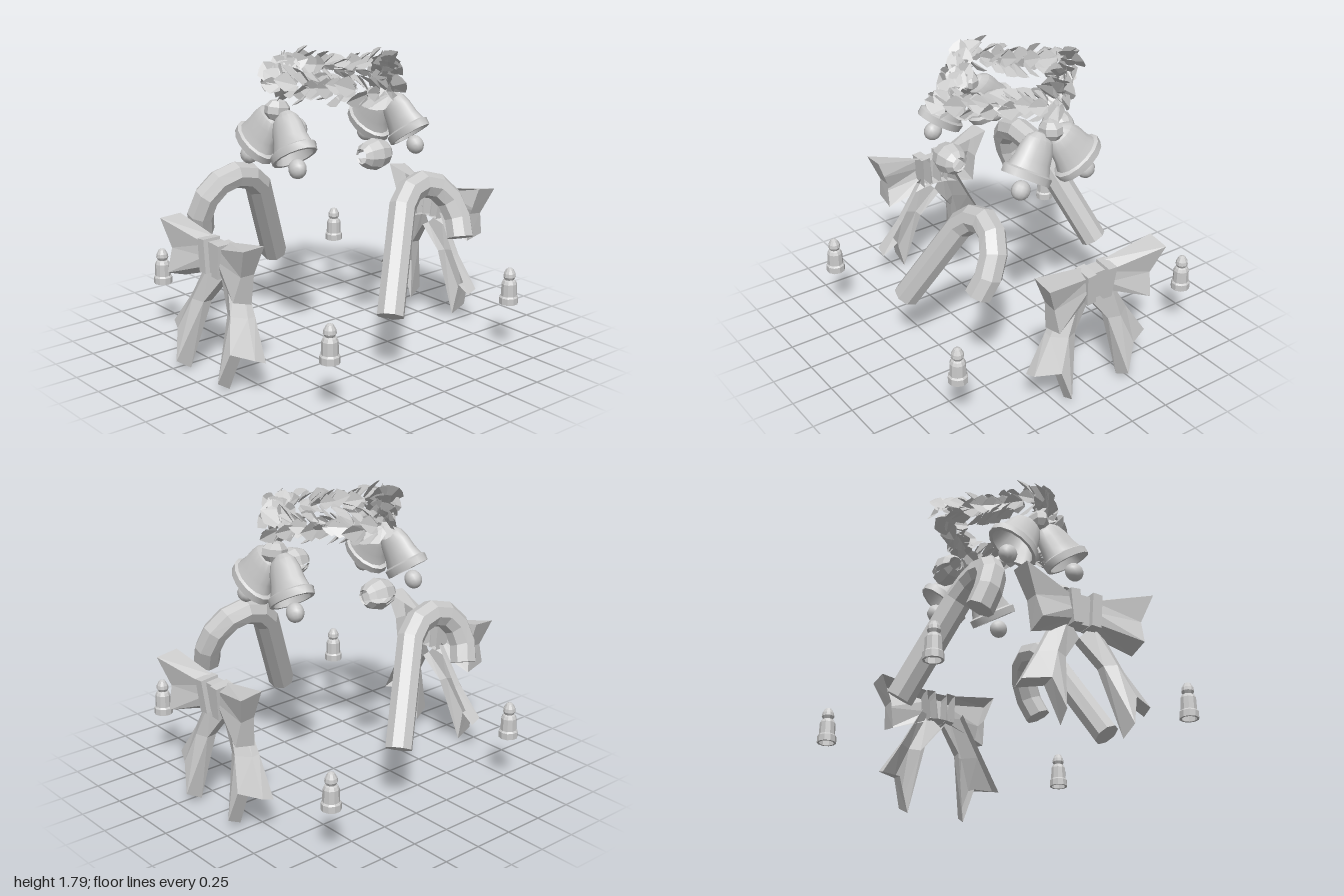
import * as THREE from 'three';
import { mergeGeometries, toCreasedNormals } from 'three/addons/utils/BufferGeometryUtils.js';

const V = (x, y, z) => new THREE.Vector3(x, y, z);
const profileOf = list => list.map(p => new THREE.Vector2(...p));
const flat = new THREE.MeshStandardMaterial({ color: 0xcccccc, flatShading: true, side: THREE.DoubleSide });
const smooth = new THREE.MeshStandardMaterial({ color: 0xcccccc, side: THREE.DoubleSide });

function add(parent, name, geometry, material = flat) {
  const mesh = new THREE.Mesh(geometry, material);
  mesh.name = name;
  parent.add(mesh);
  return mesh;
}

function group(name, ...children) {
  const g = new THREE.Group();
  g.name = name;
  if (children.length) g.add(...children);
  return g;
}

// Solid through even-sided loops of [x, y, z] points; a hollow one is a
// relief shell without its first cap and the two back strips of its six sides
function loft(sections, hollow = false) {
  const n = sections[0].length, last = (sections.length - 1) * n, index = [];
  const quad = (a, b, c, d) => index.push(a, b, c, a, c, d);
  for (let s = 0; s < last; s += n)
    for (let i = 0; i < n; i++) {
      const j = (i + 1) % n;
      if (!hollow || (i !== 3 && i !== 4)) quad(s + i, s + j, s + n + j, s + n + i);
    }
  for (let i = 0; i < n / 2 - 1; i++) {
    quad(last + i, last + i + 1, last + n - 2 - i, last + n - 1 - i);
    if (!hollow) quad(n - 1 - i, n - 2 - i, i + 1, i);
  }
  const g = new THREE.BufferGeometry();
  g.setAttribute('position', new THREE.Float32BufferAttribute(sections.flat(2), 3));
  g.setIndex(index);
  const out = g.toNonIndexed();
  out.computeVertexNormals();
  return out;
}

// Box without its back face
function openBox(w, h, d) {
  const g = new THREE.BoxGeometry(w, h, d);
  g.setIndex([...g.index.array].slice(0, 30));
  return g;
}

// Ribbon bow, hollow behind: two pinched wings, two forked tails, a folded knot
function makeBow(name) {
  const bow = group(name);
  const wing = loft([
    [[.06, .80, .87], [.06, .73, .88], [.06, .67, .87], [.06, .63, .80], [.06, .73, .80], [.06, .83, .80]],
    [[.41, .89, .95], [.34, .72, .92], [.325, .58, .965], [.325, .54, .84], [.34, .72, .83], [.41, .895, .81]],
  ], true);
  const tail = loft([
    [[.14, .68, .80], [.08, .68, .83], [0, .59, .81], [0, .58, .76], [.08, .69, .77], [.14, .69, .76]],
    [[.275, .44, .83], [.19, .44, .89], [.12, .43, .86], [.12, .43, .80], [.19, .44, .81], [.275, .44, .78]],
    [[.405, .24, .88], [.265, .25, .95], [.21, .07, 1.0], [.195, .01, .91], [.265, .23, .87], [.41, .21, .81]],
  ], true);
  for (const side of [1, -1]) {
    add(bow, 'bowWing', wing).scale.x = side;
    add(bow, 'bowTail', tail).scale.x = side;
    const fold = add(bow, 'knotSide', openBox(.06, .2, .115));
    fold.position.set(side * .065, .735, .8425);
    fold.rotation.z = -side * .08;
  }
  add(bow, 'knotCentre', openBox(.08, .18, .085)).position.set(0, .73, .8275);
  return bow;
}

// Eight-sided hooked cane in a leaning plane; bend swings its hook sideways, reach sets the hook's width
function makeCane(name, bend, reach) {
  const lean = .39, r = .082;
  const normal = V(1, -lean, 0).normalize();
  const path = [[-.06, .41], [.22, .96], [.31, 1.035], [.42, 1.06], [.53, 1.03], [.605, .95], [.63, .84], [.605, .73]]
    .map(([z, y], i) => V(-.4 - lean * (1.06 - y) + bend * Math.max(i - 3, 0) / 4, y, i < 2 ? z : .22 + (z - .22) * reach));
  const rings = path.map((p, i) => {
    const a = path[Math.max(i - 1, 0)], b = path[Math.min(i + 1, path.length - 1)];
    const before = p.clone().sub(a).normalize(), after = b.clone().sub(p).normalize();
    const across = before.add(after).normalize().cross(normal);
    return Array.from({ length: 8 }, (_, k) => {
      const t = (k + .5) * Math.PI / 4;
      return p.clone().addScaledVector(normal, r * Math.cos(t))
        .addScaledVector(across, r * Math.sin(t)).toArray();
    });
  });
  const cane = group(name);
  add(cane, 'caneStick', loft(rings));
  return cane;
}

// Pair of flattened hand bells hanging from a knob, facing front (+1) or back (-1)
function makeBells(name, facing, z) {
  const pair = group(name);
  const profile = profileOf([[0, .22], [.08, .19], [.115, .08], [.14, 0], [.165, 0], [.168, .045], [.145, .055],
    [.125, .11], [.112, .18], [.09, .235], [.05, .27], [0, .28]]);
  const shell = toCreasedNormals(new THREE.LatheGeometry(profile, 14), .5);
  for (const side of [1, -1]) {
    const bell = group('bell');
    bell.position.x = side * .193;
    bell.rotation.z = side * .56;
    add(bell, 'bellShell', shell, smooth).scale.z = .64;
    const clapper = add(bell, 'clapper', new THREE.SphereGeometry(.058, 12, 8), smooth);
    clapper.position.y = -.067;
    clapper.scale.z = .87;
    pair.add(bell);
  }
  const knob = add(pair, 'bellKnob', new THREE.SphereGeometry(.066, 7, 5));
  knob.position.set(0, .24, facing * .01);
  knob.scale.z = 1.3;
  pair.position.set(0, 1.283, z);
  pair.rotation.x = -facing * .16;
  return pair;
}

// Wreath of broad folded leaves along a rounded diamond, fuller at its corners
function makeWreath() {
  const leaf = new THREE.BufferGeometry();
  leaf.setAttribute('position', new THREE.Float32BufferAttribute([
    0, 0, 0, -.035, .008, 0, -.06, .02, .07, -.035, .012, .11, 0, 0, .14,
    .035, .008, 0, .06, .02, .07, .035, .012, .11], 3));
  leaf.setIndex([0, 2, 1, 0, 4, 2, 2, 4, 3, 0, 5, 6, 0, 6, 4, 6, 7, 4]);
  const curve = new THREE.CatmullRomCurve3([V(0, 1.67, -.43), V(.22, 1.65, -.22), V(.42, 1.63, -.03),
    V(.22, 1.65, .17), V(0, 1.67, .39), V(-.22, 1.67, .17), V(-.42, 1.68, -.03), V(-.22, 1.67, -.22)], true);
  let seed = 7;
  const rand = () => (seed = (seed * 16807) % 2147483647) / 2147483647 - .5;
  const leaves = [], count = 36;
  for (let i = 0; i < count; i++) {
    const t = i / count, p = curve.getPointAt(t), along = curve.getTangentAt(t);
    const out = V(0, 1, 0).cross(along).normalize(), up = along.clone().cross(out);
    const corner = Math.max(0, Math.cos(t * 8 * Math.PI));
    for (const angle of [0, 1.3, 2.4, 4.5]) {
      const a = angle + rand() * 1.2;
      const radial = out.clone().multiplyScalar(Math.cos(a)).addScaledVector(up, Math.sin(a));
      const dir = along.clone().addScaledVector(radial, .6 + rand() * .9 + corner * .35).normalize();
      const right = radial.clone().cross(dir).normalize();
      const m = new THREE.Matrix4().makeBasis(right, dir.clone().cross(right), dir);
      m.scale(V(1, 1, 1).multiplyScalar(.9 + rand() * .3));
      m.setPosition(p.clone().addScaledVector(radial, .012 + corner * .012).addScaledVector(along, -.05));
      leaves.push(leaf.clone().applyMatrix4(m));
    }
  }
  const g = mergeGeometries(leaves).toNonIndexed();
  g.computeVertexNormals();
  return g;
}

export function createModel() {
  const model = group('festiveDecorations');
  add(model, 'wreath', makeWreath());

  // Bows, the rear one leaning outward about its own middle
  model.add(makeBow('frontBow'));
  const ribbon = makeBow('backBowRibbon');
  ribbon.rotation.y = Math.PI;
  ribbon.position.set(0, -.5, .88);
  const backBow = group('backBow', ribbon);
  backBow.position.set(0, .515, -.885);
  backBow.rotation.x = -.1;
  model.add(backBow);

  // Canes, one turned half round
  const leftCane = makeCane('leftCane', -.035, .94);
  leftCane.rotation.y = Math.PI;
  leftCane.position.set(0, -.025, .04);
  model.add(makeCane('rightCane', .025, 1), leftCane);

  // Hand bells front and back
  model.add(makeBells('frontBells', 1, .425), makeBells('backBells', -1, -.465));

  // Slit jingle bells
  const jingle = new THREE.LatheGeometry(profileOf([[.04, -.09], [.045, -.1], [.075, -.068], [.094, 0], [.075, .068],
    [.045, .1], [.04, .09], [.065, .06], [.08, 0], [.065, -.06], [.04, -.09]]), 9, -1.1, Math.PI * 2 - .5)
    .rotateX(Math.PI / 2);
  for (const side of [1, -1])
    add(model, 'jingleBell', jingle).position.set(side * .39, 1.275, 0);

  // Small lamps at the four corners
  const lamp = new THREE.LatheGeometry(profileOf([[.045, .32], [.058, .32], [.058, .36], [.049, .37], [.047, .445],
    [.038, .463], [.028, .47], [.038, .488], [.035, .51], [.02, .537], [0, .546]]), 10);
  for (const x of [-.82, .82])
    for (const z of [-.71, .69])
      add(model, 'cornerLamp', lamp).position.set(x, 0, z);

  return model;
}
